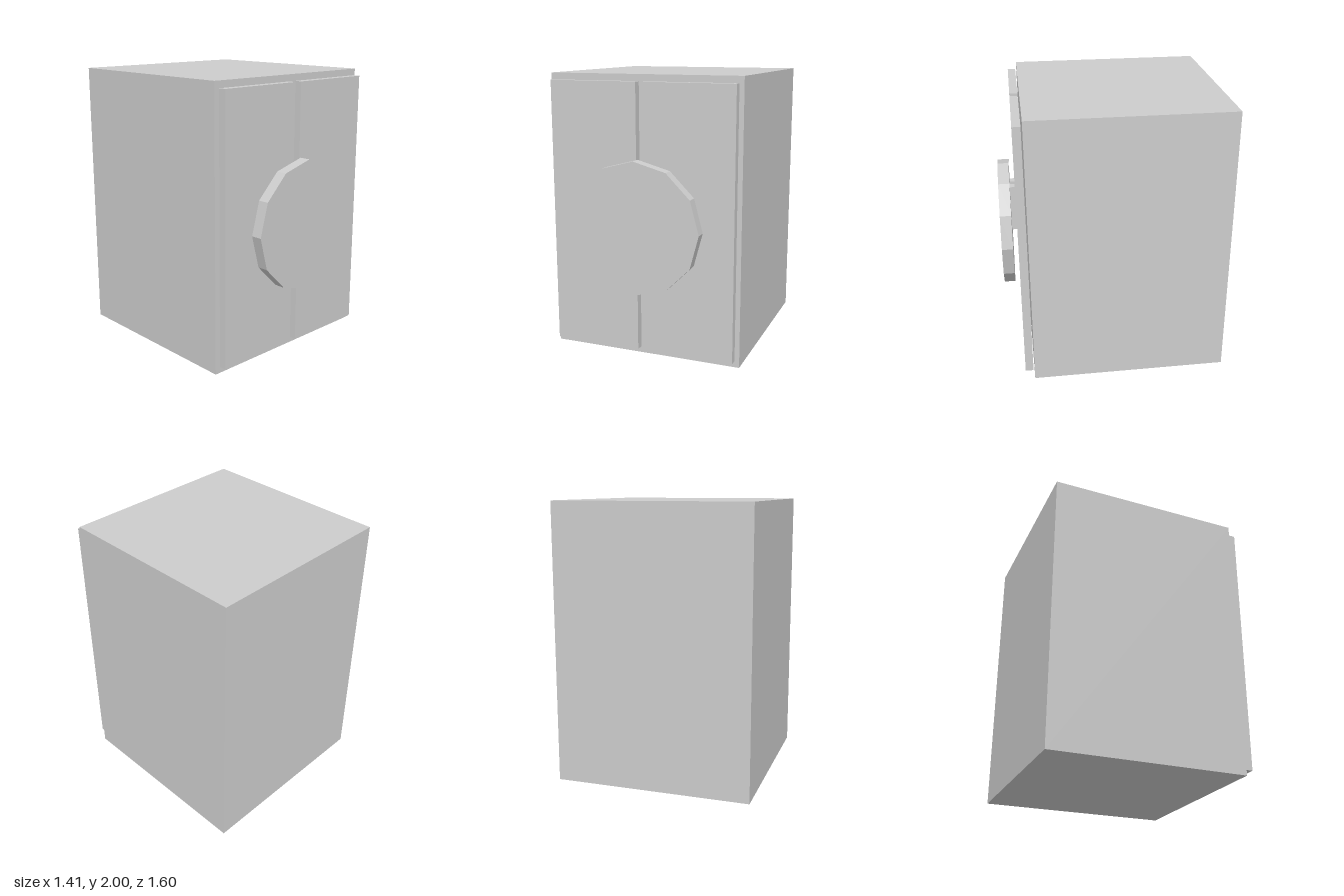
import * as THREE from 'three';

export function createModel() {
  const group = new THREE.Group();
  const grey = new THREE.MeshStandardMaterial({ color: 0xcccccc, flatShading: true });
  grey.name = 'light grey';

  // Box given by its minimum and maximum corners
  const addBox = (name, [x0, y0, z0], [x1, y1, z1]) => {
    const mesh = new THREE.Mesh(new THREE.BoxGeometry(x1 - x0, y1 - y0, z1 - z0), grey);
    mesh.position.set((x0 + x1) / 2, (y0 + y1) / 2, (z0 + z1) / 2);
    mesh.name = name;
    group.add(mesh);
  };

  // Cabinet body
  addBox('cabinet', [-0.706, 0, -0.798], [0.706, 2, 0.614]);

  // Paired doors, each with a mounting block for the disc
  addBox('leftDoor', [0.029, 0.05, 0.623], [0.675, 1.953, 0.681]);
  addBox('rightDoor', [-0.675, 0.05, 0.623], [-0.029, 1.953, 0.681]);
  addBox('leftMount', [0.023, 0.925, 0.681], [0.082, 1.275, 0.718]);
  addBox('rightMount', [-0.082, 0.925, 0.681], [-0.023, 1.275, 0.718]);

  // Twelve-sided disc with a corner at the top
  const discGeometry = new THREE.CylinderGeometry(0.468, 0.468, 0.08, 12).rotateX(Math.PI / 2);
  const disc = new THREE.Mesh(discGeometry, grey);
  disc.position.set(0, 0.967, 0.758);
  disc.name = 'disc';
  group.add(disc);

  return group;
}
